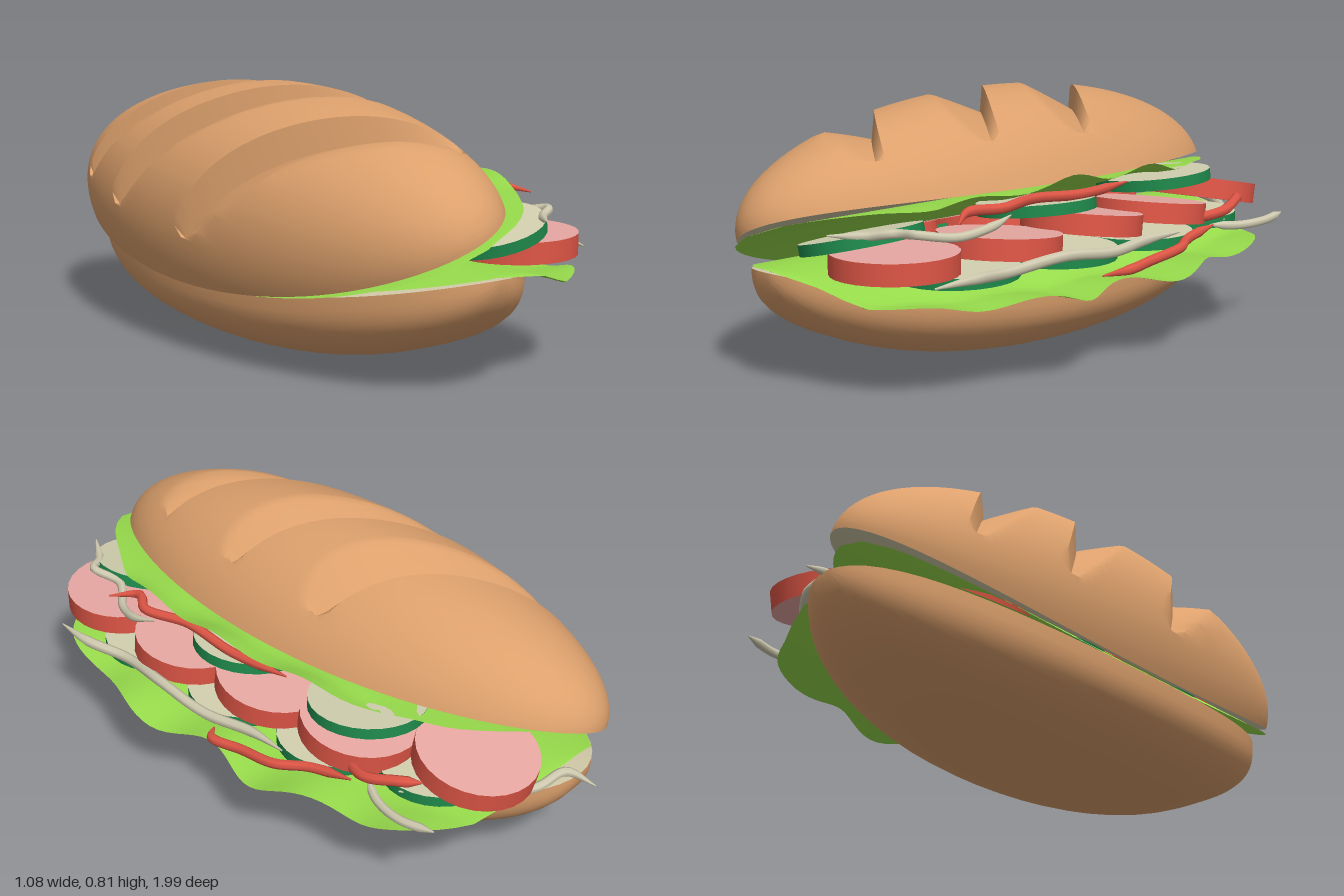
import * as THREE from 'three';
import { toCreasedNormals } from 'three/addons/utils/BufferGeometryUtils.js';

const paint = (name, color, side = THREE.FrontSide) => {
  const m = new THREE.MeshStandardMaterial({ color, side });
  m.name = name;
  return m;
};

// Surface from a rule: rows v (list of values), columns u in 0..1
function sheet(rows, cols, fn) {
  const pos = [], idx = [];
  rows.forEach((v, i) => {
    for (let j = 0; j <= cols; j++) {
      pos.push(...fn(j / cols, v));
      if (i && j) {
        const d = i * (cols + 1) + j, c = d - 1, b = d - cols - 1, a = b - 1;
        idx.push(a, c, b, b, c, d);
      }
    }
  });
  const g = new THREE.BufferGeometry();
  g.setAttribute('position', new THREE.Float32BufferAttribute(pos, 3));
  g.setIndex(idx);
  return g;
}
const steps = (a, b, n) => Array.from({ length: n + 1 }, (_, i) => a + (b - a) * i / n);

const ZC = 0.025, ZR = 0.955, BASE_R = 0.405, LID_R = 0.415, TILT = 0.396;
const CT = Math.cos(TILT), ST = Math.sin(TILT);
// Upper half lives in a tilted frame, opened towards +x
const lid = (U, V, z) => [-0.13 + U * CT - V * ST, 0.386 + U * ST + V * CT, z];
const lidArch = p => 0.08 * (1 - p * p);
const baseArch = p => 0.23 + 0.12 * (1 - p * p);

export function createModel() {
  const group = new THREE.Group();
  const crust = paint('crust', 0xdca06c);
  const crumb = paint('crumb', 0xd2caa8);
  const leaf = paint('lettuce green', 0x98dc4c, THREE.DoubleSide);
  const tomatoSkin = paint('tomato skin', 0xdf5646);
  const tomatoFlesh = paint('tomato flesh', 0xe8a8a2);
  const cucumberSkin = paint('cucumber skin', 0x1f8a4c);
  const cucumberFlesh = paint('cucumber flesh', 0xd3d1b0);
  const onion = paint('onion', 0xd0cbb0);
  const add = (name, geo, mat) => {
    const m = new THREE.Mesh(geo, mat);
    m.name = name;
    group.add(m);
    return m;
  };

  // Top bun: half ellipsoid whose rows run along three diagonal scores
  const scores = [0.35, -0.11, -0.5], nP = -0.375, nQ = 0.927, lean = 0.04;
  const rows = [];
  let from = 0;
  scores.forEach(s => {
    rows.push(...steps(from, Math.acos(s + lean), 18));
    from = Math.acos(s);
  });
  rows.push(...steps(from, Math.PI, 18));
  const cut = (s, sinF) => {
    if (sinF <= 0.4) return 0;
    const win = Math.sqrt((sinF - 0.38) / 0.62), width = 0.19 * win;
    let d = 0;
    for (const k of scores) {
      const t = Math.abs(s - k - lean) < 1e-6 ? 0 : s - k - lean;
      if (t >= 0 && t < width) d = 0.26 * win * (1 - t / width);
    }
    return d;
  };
  const dome = (u, th) => {
    const s = Math.cos(th), r = Math.sin(th), f = u * Math.PI;
    const c = r * Math.cos(f);
    const p = s * nP + c * nQ, q = s * nQ - c * nP;
    const h = r * Math.sin(f) - cut(s, Math.sin(f));
    const k = lidArch(p);
    return lid(LID_R * p, k + h * (LID_R - k), ZC + ZR * q);
  };
  add('topBunCrust', toCreasedNormals(sheet(rows, 48, dome), 0.6), crust);
  const round = steps(0, Math.PI, 32);
  add('topBunCutFace', toCreasedNormals(sheet(round, 20, (u, th) => {
    const p = Math.sin(th) * (2 * u - 1);
    return lid(LID_R * p, lidArch(p), ZC + ZR * Math.cos(th));
  }), 0.6), crumb);

  // Bottom bun: squarish half ellipsoid with an arched cut face
  const sup = v => Math.sign(v) * Math.pow(Math.abs(v), 2 / 2.6);
  add('bottomBunCrust', toCreasedNormals(sheet(round, 28, (u, th) => {
    const f = u * Math.PI, r = Math.sin(th);
    const p = -r * sup(Math.cos(f)), d = r * sup(Math.sin(f));
    return [-0.085 + BASE_R * p, baseArch(p) * (1 - d), ZC + ZR * Math.cos(th)];
  }), 0.6), crust);
  add('bottomBunCutFace', toCreasedNormals(sheet(round, 20, (u, th) => {
    const p = Math.sin(th) * (1 - 2 * u);
    return [-0.085 + BASE_R * p, baseArch(p), ZC + ZR * Math.cos(th)];
  }), 0.6), crumb);

  // Lower lettuce: drapes over the bottom bun, frilled on the open side
  const lower = sheet(steps(-1, 1, 64), 28, (u, q) => {
    const z = 0.05 + 0.925 * q;
    const left = -0.085 - 0.39 * Math.sqrt(1 - ((z - ZC) / ZR) ** 2);
    const right = -0.1 + (0.6 + 0.03 * Math.cos((z + 0.17) * 12.6)) * Math.sqrt(1 - q ** 4);
    const x = left + (right - left) * u;
    const over = Math.max(0, x - 0.22) / 0.3;
    const y = Math.max(baseArch((x + 0.085) / BASE_R), 0.24 + 0.04 * q * q) + 0.007
      + over * (0.015 + 0.018 * Math.sin(z * 17 + 0.6));
    return [x, y, z];
  });
  lower.computeVertexNormals();
  add('lowerLettuce', lower, leaf);

  // Upper lettuce: hugs the underside of the top bun, short of its back tip
  const upper = sheet(steps(-1, 1, 56), 28, (u, q) => {
    const z = 0.065 + 0.93 * q;
    const w = Math.sqrt(1 - q * q);
    const p = w * (-0.95 + u * (2.2 + 0.03 * Math.sin(q * 14)));
    const edge = Math.max(0, p - 0.8) * 0.03 * Math.sin(q * 16);
    return lid(LID_R * p, Math.max(lidArch(p), 0) - 0.016 + edge, z);
  });
  upper.computeVertexNormals();
  add('upperLettuce', upper, leaf);

  // Slices: x, y, z, roll about z, pitch about x
  const slices = (name, radius, thick, mats, list) => {
    const geo = new THREE.CylinderGeometry(radius, radius, thick, 28);
    for (const [x, y, z, roll, pitch] of list) {
      const m = add(name, geo, mats);
      m.position.set(x, y, z);
      m.rotation.set(pitch, 0, roll);
    }
  };
  slices('tomatoSlice', 0.19, 0.065, [tomatoSkin, tomatoFlesh, tomatoFlesh], [
    [0.19, 0.385, 0.73, 0, 0],
    [0.24, 0.395, 0.36, 0.03, -0.08],
    [0.24, 0.415, 0.0, 0.02, -0.13],
    [0.22, 0.405, -0.33, 0.03, -0.13],
    [0.13, 0.42, -0.70, 0.03, -0.2],
    [-0.15, 0.365, 0.5, 0.24, 0],
    [-0.15, 0.365, 0.05, 0.24, 0],
    [-0.15, 0.365, -0.42, 0.24, 0],
  ]);
  slices('cucumberSlice', 0.185, 0.035, [cucumberSkin, cucumberFlesh, cucumberFlesh], [
    [0.23, 0.335, 0.52, 0, 0.03],
    [0.25, 0.335, 0.12, 0, 0],
    [0.24, 0.335, -0.25, 0, 0],
    [0.15, 0.345, -0.58, 0, 0],
    [0.06, 0.435, 0.74, 0.22, 0.04],
    [0.19, 0.475, 0.15, 0.1, 0],
    [0.22, 0.505, -0.36, 0.08, 0.05],
    [-0.28, 0.31, 0.25, 0.36, 0],
    [-0.28, 0.31, -0.2, 0.36, 0],
  ]);

  // Strands: wavy tubes with pointed tips, through a few points
  const strand = (name, mat, radius, pts) => {
    const curve = new THREE.CatmullRomCurve3(pts.map(p => new THREE.Vector3(...p)));
    const n = 36, sides = 7, geo = new THREE.TubeGeometry(curve, n, radius, sides);
    const pos = geo.attributes.position, v = new THREE.Vector3();
    for (let i = 0; i <= n; i++) {
      const c = curve.getPointAt(i / n);
      const k = Math.min(1, 0.15 + 6 * Math.min(i, n - i) / n);
      for (let j = 0; j <= sides; j++) {
        const a = i * (sides + 1) + j;
        v.fromBufferAttribute(pos, a).sub(c).multiplyScalar(k).add(c);
        pos.setXYZ(a, v.x, v.y, v.z);
      }
    }
    add(name, geo, mat);
  };
  strand('onionStrand', onion, 0.017, [[0.42, 0.35, 0.79], [0.44, 0.36, 0.65], [0.41, 0.35, 0.5],
    [0.45, 0.375, 0.3], [0.46, 0.36, 0.1], [0.44, 0.37, -0.08], [0.45, 0.375, -0.22]]);
  strand('onionStrand', onion, 0.014, [[0.42, 0.36, -0.78], [0.435, 0.35, -0.66], [0.41, 0.345, -0.56], [0.36, 0.35, -0.48]]);
  strand('onionStrand', onion, 0.015, [[-0.07, 0.345, -0.995], [-0.05, 0.36, -0.9], [0.06, 0.35, -0.87],
    [0.2, 0.345, -0.75], [0.34, 0.35, -0.58]]);
  strand('onionStrand', onion, 0.014, [[0.13, 0.48, 0.93], [0.2, 0.475, 0.84], [0.26, 0.485, 0.8],
    [0.24, 0.465, 0.7], [0.32, 0.455, 0.6], [0.36, 0.48, 0.5], [0.35, 0.5, 0.42]]);
  strand('pepperStrip', tomatoSkin, 0.016, [[0.35, 0.5, 0.63], [0.3, 0.52, 0.54], [0.35, 0.525, 0.46],
    [0.32, 0.53, 0.3], [0.33, 0.52, 0.1], [0.32, 0.53, -0.12]]);
  strand('pepperStrip', tomatoSkin, 0.016, [[0.42, 0.28, 0.1], [0.48, 0.3, 0.05], [0.47, 0.31, -0.06],
    [0.47, 0.33, -0.2], [0.42, 0.34, -0.3], [0.4, 0.36, -0.45]]);
  strand('pepperStrip', tomatoSkin, 0.017, [[0.33, 0.42, -0.66], [0.37, 0.42, -0.6], [0.4, 0.4, -0.5], [0.36, 0.38, -0.4]]);

  return group;
}
